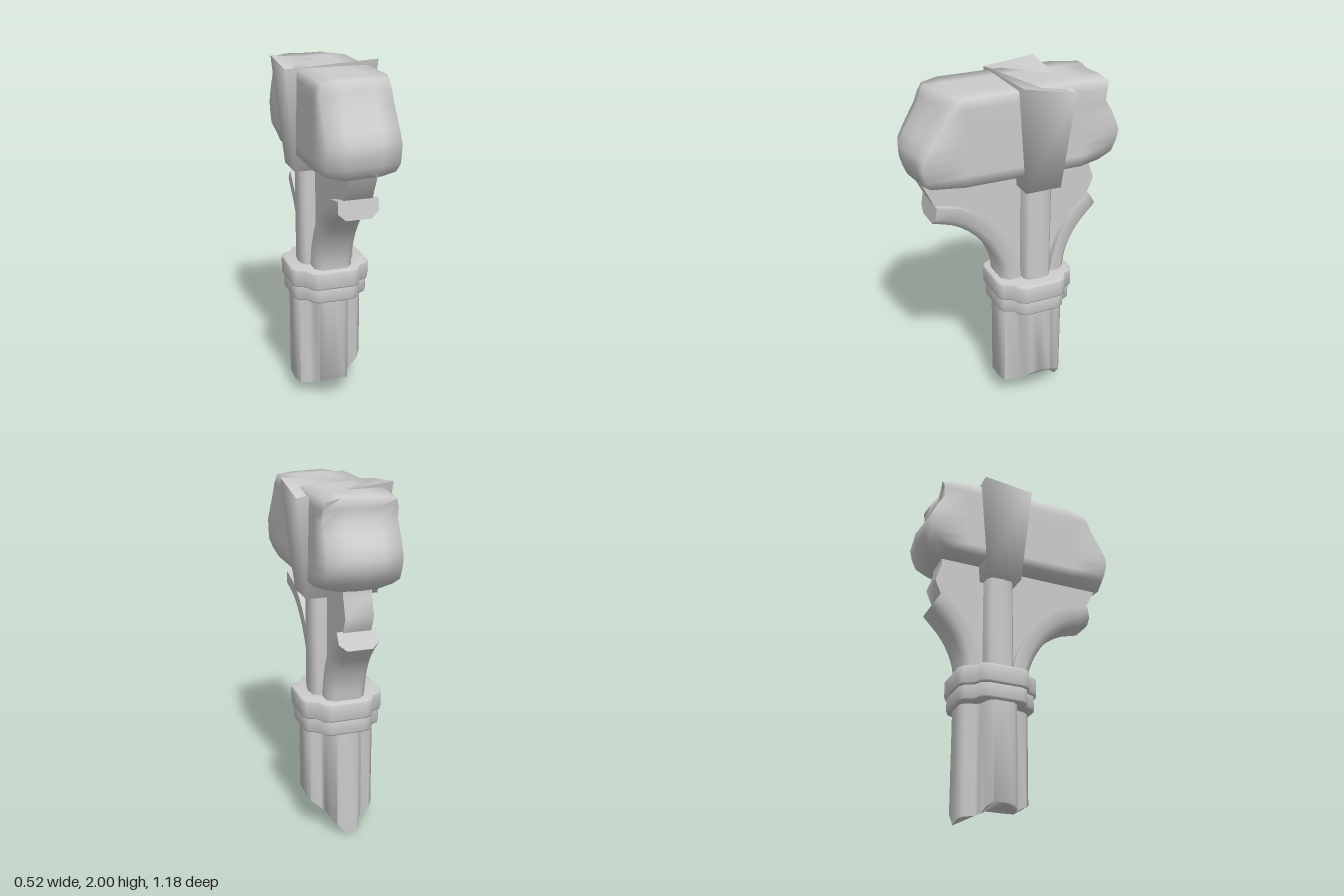
import * as THREE from 'three';
import { toCreasedNormals } from 'three/addons/utils/BufferGeometryUtils.js';

const CZ = -0.11; // z of the post axis
const SOFT = 1.65; // crease angle that blends worn right-angled edges
const material = new THREE.MeshStandardMaterial({ color: 0xcccccc });

function addMesh(group, name, geometry, crease = 0.9) {
  const mesh = new THREE.Mesh(toCreasedNormals(geometry, crease), material);
  mesh.name = name;
  group.add(mesh);
}

// piecewise linear lookup through [key, value] pairs with rising keys
function lookup(table, k) {
  if (k <= table[0][0]) return table[0][1];
  for (let i = 1; i < table.length; i++) {
    const [a, va] = table[i - 1], [b, vb] = table[i];
    if (k <= b) return va + (vb - va) * (k - a) / (b - a);
  }
  return table[table.length - 1][1];
}

function moveVertices(geometry, rule) {
  const p = geometry.attributes.position;
  const v = new THREE.Vector3();
  for (let i = 0; i < p.count; i++) {
    rule(v.fromBufferAttribute(p, i));
    p.setXYZ(i, v.x, v.y, v.z);
  }
  return geometry;
}

// four-lobed section, one quarter repeated by rotation
const postQuarter = [[1, 0], [1, 0.28], [0.88, 0.42], [0.6, 0.5], [0.5, 0.6], [0.42, 0.88], [0.28, 1]];
const ringQuarter = [[1, 0], [1, 0.44], [0.92, 0.6], [0.7, 0.7], [0.6, 0.92], [0.44, 1]];
function lobedShape(quarter, r) {
  const points = [];
  for (let q = 0; q < 4; q++) {
    for (const [x, y] of quarter) {
      points.push(new THREE.Vector2(x * r, y * r).rotateAround(new THREE.Vector2(), q * Math.PI / 2));
    }
  }
  return new THREE.Shape(points);
}

// upright prism on the post axis
function upright(shape, y0, y1, bevel = 0) {
  const g = new THREE.ExtrudeGeometry(shape, {
    depth: y1 - y0 - 2 * bevel, bevelEnabled: bevel > 0, bevelSize: bevel,
    bevelOffset: -bevel, bevelThickness: bevel, bevelSegments: 2,
  });
  return g.rotateX(-Math.PI / 2).translate(0, y0 + bevel, CZ);
}

// curved brace lofted between an upper and a lower edge, both given as [z, y]
function braceGeometry(upper, lower) {
  const spline = (pts) => new THREE.CatmullRomCurve3(pts.map(([z, y]) => new THREE.Vector3(0, y, z)));
  const up = spline(upper), low = spline(lower);
  const section = [[-0.11, 0], [0.11, 0], [0.11, 0.65], [0.07, 1], [-0.07, 1], [-0.11, 0.65]];
  if (lower[0][0] > upper[0][0]) section.reverse(); // keeps the faces outward at the front
  const n = section.length, steps = 12, pos = [], index = [];
  for (let s = 0; s <= steps; s++) {
    const a = up.getPoint(s / steps), b = low.getPoint(s / steps);
    for (const [x, t] of section) {
      const p = a.clone().lerp(b, t);
      pos.push(x, p.y, p.z);
    }
  }
  for (let s = 0; s < steps; s++) {
    for (let i = 0; i < n; i++) {
      const a = s * n + i, b = s * n + (i + 1) % n;
      index.push(a, b, a + n, b, b + n, a + n);
    }
  }
  const e = steps * n;
  for (let i = 1; i < n - 1; i++) index.push(0, i + 1, i, e, e + i, e + i + 1);
  const g = new THREE.BufferGeometry();
  g.setAttribute('position', new THREE.Float32BufferAttribute(pos, 3));
  g.setIndex(index);
  return g;
}

export function createModel() {
  const model = new THREE.Group();
  model.name = 'brokenBracketPost';

  // lower post with a splintered bottom
  const breakZ = [[-0.31, 0], [-0.09, 0.03], [0.09, 0.13]];
  const breakX = [[-0.2, 0.09], [-0.15, 0.05], [0, 0], [0.1, 0.12], [0.17, 0.17], [0.2, 0.22]];
  addMesh(model, 'lowerPost', moveVertices(upright(lobedShape(postQuarter, 0.2), 0, 0.68), (v) => {
    if (v.y < 0.01) v.y = Math.max(lookup(breakZ, v.z), lookup(breakX, v.x));
  }), 1.2);

  // stepped ring
  addMesh(model, 'lowerRing', upright(lobedShape(ringQuarter, 0.22), 0.64, 0.74, 0.012));
  addMesh(model, 'upperRing', upright(lobedShape(ringQuarter, 0.232), 0.725, 0.835, 0.012));

  // upper post with rounded sides
  const post = [];
  for (const s of [1, -1]) {
    for (const [x, z] of [[0.13, -0.08], [0.155, -0.06], [0.162, 0], [0.155, 0.06], [0.13, 0.08]]) {
      post.push(new THREE.Vector2(x * s, z * s));
    }
  }
  addMesh(model, 'upperPost', upright(new THREE.Shape(post), 0.8, 1.45));

  // web panel behind the braces
  const outline = [[-0.24, 0.8], [0.03, 0.8], [0.04, 0.95], [0.1, 1.08], [0.2, 1.2], [0.32, 1.29],
    [0.46, 1.36], [0.54, 1.52], [-0.445, 1.52], [-0.445, 1.46], [-0.48, 1.36], [-0.43, 1.24],
    [-0.33, 1.12], [-0.27, 0.97]];
  const web = new THREE.ExtrudeGeometry(
    new THREE.Shape(outline.map(([z, y]) => new THREE.Vector2(z, y))), { depth: 0.155, bevelEnabled: false });
  addMesh(model, 'web', web.rotateY(-Math.PI / 2).translate(0.0775, 0, 0));

  // curved braces
  addMesh(model, 'frontBrace', braceGeometry(
    [[-0.025, 0.8], [-0.01, 0.93], [0.06, 1.09], [0.17, 1.235], [0.31, 1.33], [0.465, 1.37]],
    [[0.085, 0.8], [0.095, 0.9], [0.15, 1.03], [0.24, 1.145], [0.35, 1.225], [0.48, 1.265]]), 1.2);
  addMesh(model, 'backBrace', braceGeometry(
    [[-0.2, 0.8], [-0.225, 0.95], [-0.29, 1.11], [-0.44, 1.28]],
    [[-0.3, 0.8], [-0.32, 0.93], [-0.38, 1.06], [-0.495, 1.19]]), 1.2);

  // beam with broken ends: depth by height, plus a shift across the width at mid height and at the top
  const front = {
    depth: [[1.5, 0.55], [1.56, 0.575], [1.66, 0.6], [1.75, 0.55], [1.87, 0.475], [1.97, 0.44]],
    mid: [[-0.2, -0.035], [-0.1, 0], [0.2, -0.035]],
    top: [[-0.2, -0.02], [-0.1, 0], [0.2, -0.07]],
  };
  const back = {
    depth: [[1.5, -0.48], [1.54, -0.54], [1.66, -0.595], [1.78, -0.53], [1.88, -0.45],
      [1.92, -0.48], [1.97, -0.475]],
    mid: [[-0.2, 0.025], [0, 0], [0.2, 0.035]],
    top: [[-0.2, -0.02], [0, 0.02], [0.2, -0.01]],
  };
  const beam = new THREE.BoxGeometry(0.39, 0.47, 1, 4, 8, 3).translate(0, 1.735, 0);
  addMesh(model, 'beam', moveVertices(beam, (v) => {
    if (Math.abs(v.z) < 0.4) {
      v.z *= 2;
      return;
    }
    const end = v.z > 0 ? front : back;
    const t = THREE.MathUtils.clamp((v.y - 1.66) / 0.31, 0, 1);
    v.z = lookup(end.depth, v.y) + THREE.MathUtils.lerp(lookup(end.mid, v.x), lookup(end.top, v.x), t);
    // chipped corners
    if (Math.abs(v.x) > 0.19 && Math.abs(v.y - 1.735) > 0.23) {
      v.x *= 0.93;
      v.y += v.y < 1.7 ? 0.015 : -0.015;
    }
  }), SOFT);

  // tapered block gripping the beam, two opposite top corners worn down
  const block = new THREE.BoxGeometry(1, 0.6, 1).translate(0, 1.7, 0);
  addMesh(model, 'taperedBlock', moveVertices(block, (v) => {
    const top = v.y > 1.7;
    if (top && v.x * v.z < 0) v.y -= v.x > 0 ? 0.06 : 0.03;
    v.x *= top ? 0.52 : 0.4;
    v.z = CZ + v.z * (top ? 0.295 : 0.205);
  }), SOFT);

  return model;
}
